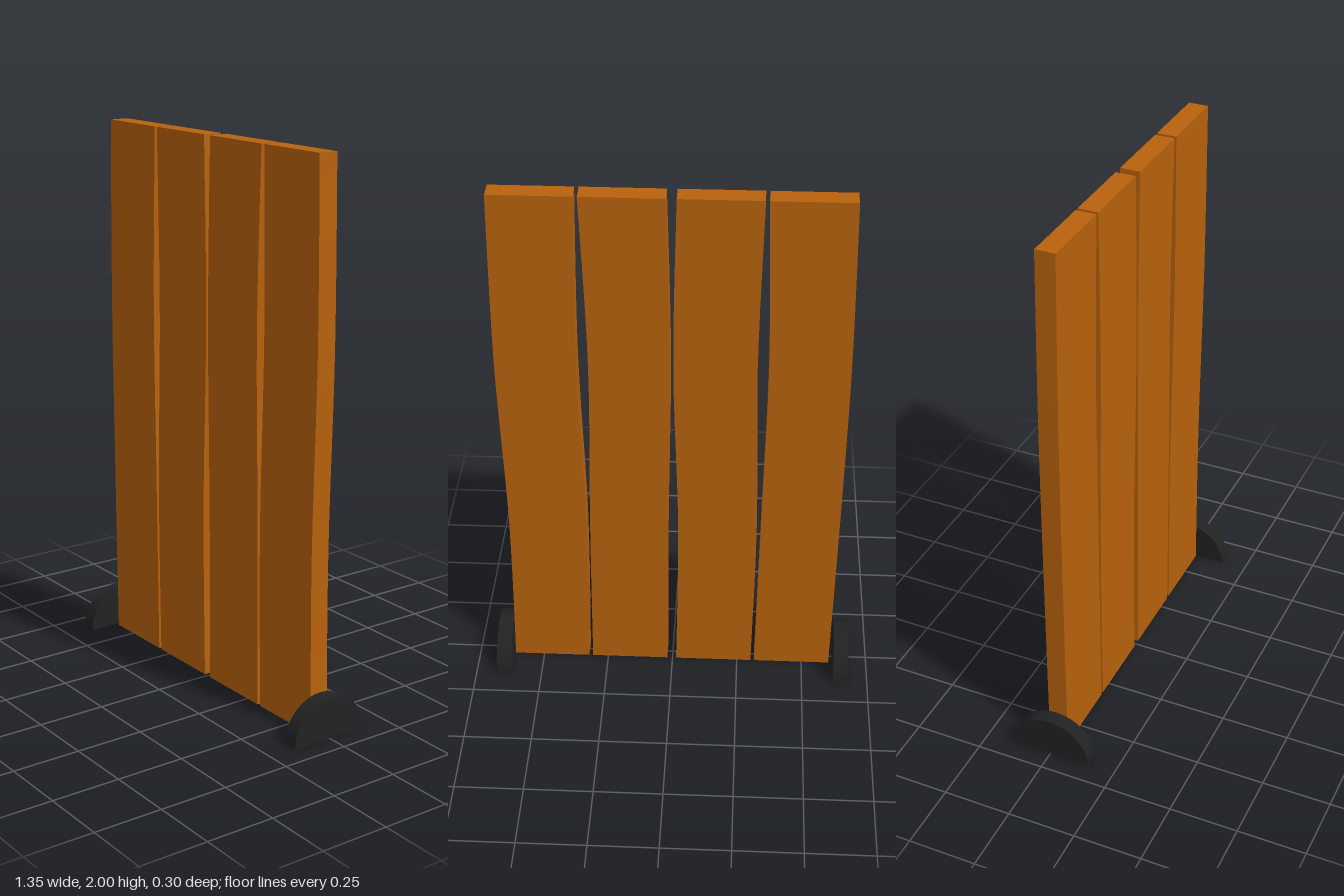
import * as THREE from 'three';

const wood = new THREE.MeshStandardMaterial({ color: 0xb8620d });
wood.name = 'warm wood';
const black = new THREE.MeshStandardMaterial({ color: 0x222222 });
black.name = 'black foot';

// x offsets of each plank's wavy edges at these heights, bottom to top
const heights = [0, 0.65, 1.35, 2];
const planks = [
  { left: [-0.605, -0.613, -0.617, -0.605], right: [-0.317, -0.325, -0.333, -0.316] },
  { left: [-0.303, -0.310, -0.294, -0.303], right: [-0.014, -0.021, -0.003, -0.014] },
  { left: [0.020, 0.017, 0.008, 0.021], right: [0.310, 0.304, 0.292, 0.310] },
  { left: [0.325, 0.317, 0.333, 0.325], right: [0.612, 0.604, 0.619, 0.612] },
];

function edge(xs) {
  const points = xs.map((x, i) => new THREE.Vector2(x, heights[i]));
  return new THREE.SplineCurve(points).getPoints(18);
}

// extrusion centred on its own depth
function slab(shape, depth, material, name) {
  const geometry = new THREE.ExtrudeGeometry(shape, { depth, bevelEnabled: false, curveSegments: 32 });
  geometry.translate(0, 0, -depth / 2);
  const mesh = new THREE.Mesh(geometry, material);
  mesh.name = name;
  return mesh;
}

export function createModel() {
  const model = new THREE.Group();
  model.name = 'plankPanel';

  // four upright planks with gently warped sides
  planks.forEach(({ left, right }, i) => {
    const outline = [...edge(right), ...edge(left).reverse()];
    model.add(slab(new THREE.Shape(outline), 0.072, wood, `plank${i + 1}`));
  });

  // half-disc feet at both sides
  const half = new THREE.Shape();
  half.absarc(0, 0, 0.15, 0, Math.PI, false);
  half.closePath();
  for (const [name, x] of [['rightFoot', -0.647], ['leftFoot', 0.643]]) {
    const foot = slab(half, 0.056, black, name);
    foot.rotation.y = Math.PI / 2;
    foot.position.x = x;
    model.add(foot);
  }
  return model;
}
